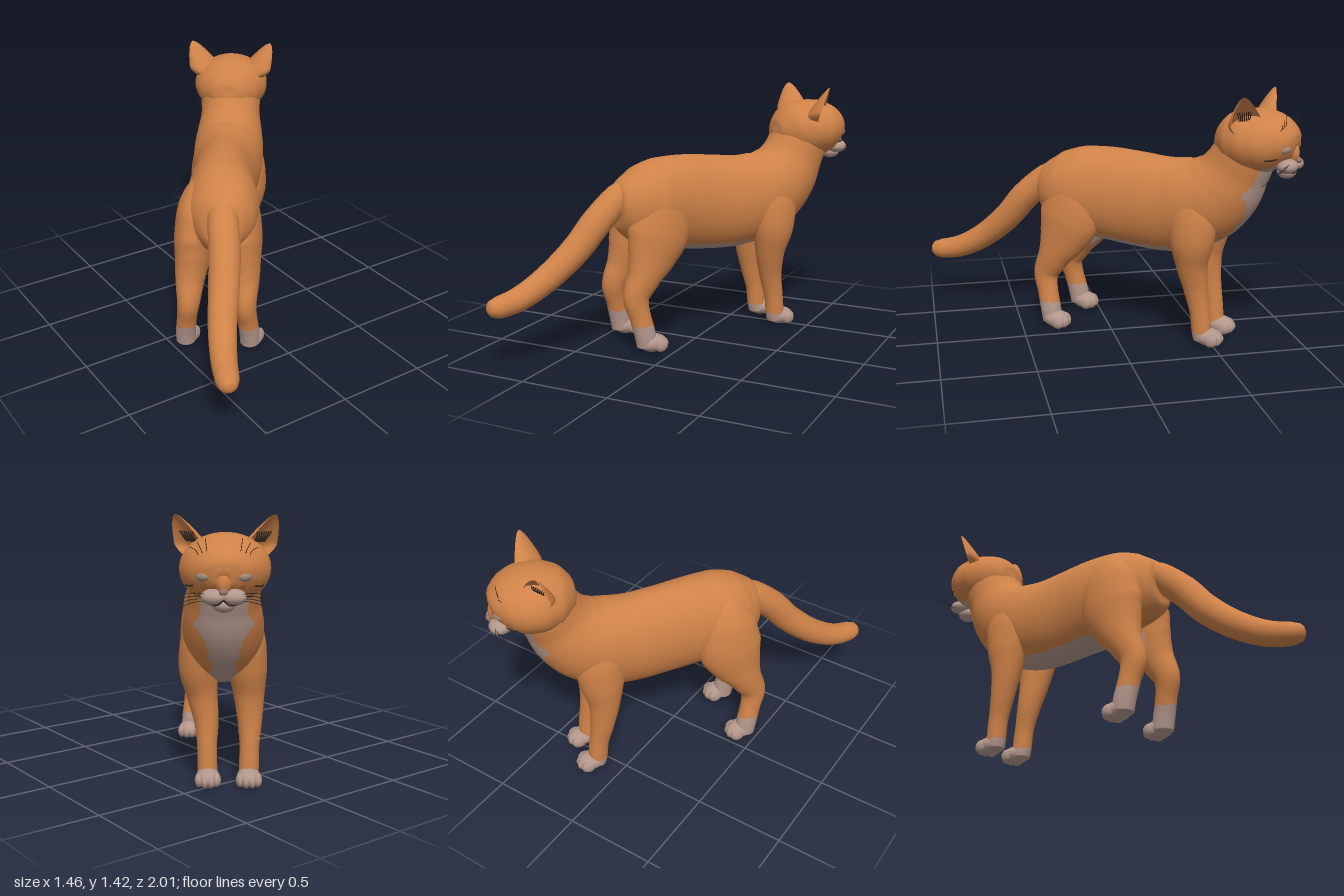
import * as THREE from 'three';

const mat = (name, color, side = THREE.FrontSide) => {
  const m = new THREE.MeshStandardMaterial({ color, side });
  m.name = name;
  return m;
};
const fur = mat('orange fur', 0xcf8248, THREE.DoubleSide);
const pale = mat('pale fur', 0xb2968a);
const dark = mat('dark hair', 0x2a2320);
const noseSkin = mat('nose skin', 0x94736a);
const eyeTint = mat('eye', 0xa08c7a);

// Smooth tube through stations [x, y, forward, half width, half depth].
// isPale(point, angle from the underside or rear, t) picks the second material.
function loft(name, stations, isPale = () => false, rings = 80, sides = 48) {
  const path = new THREE.CatmullRomCurve3(stations.map(s => new THREE.Vector3(s[0], s[1], -s[2])), false, 'centripetal');
  const size = new THREE.CatmullRomCurve3(stations.map(s => new THREE.Vector3(s[3], s[4], 0)), false, 'centripetal');
  const pos = [], parts = [[], []];
  for (let i = 0; i <= rings; i++) {
    const t = i / rings, c = path.getPoint(t), r = size.getPoint(t), T = path.getTangent(t);
    const side = new THREE.Vector3(1, 0, 0).addScaledVector(T, -T.x).normalize();
    const down = new THREE.Vector3().crossVectors(T, side);
    for (let j = 0; j < sides; j++) {
      const a = j / sides * Math.PI * 2;
      const p = c.clone().addScaledVector(side, Math.max(r.x, 0.001) * Math.cos(a))
        .addScaledVector(down, Math.max(r.y, 0.001) * Math.sin(a));
      pos.push(p.x, p.y, p.z);
    }
  }
  const at = k => new THREE.Vector3().fromArray(pos, k * 3);
  for (let i = 0; i < rings; i++) for (let j = 0; j < sides; j++) {
    const k = (j + 1) % sides, a = i * sides + j, b = i * sides + k, c = b + sides, d = a + sides;
    const angle = Math.acos(Math.sin((j + 0.5) / sides * Math.PI * 2));
    const mid = at(a).add(at(c)).multiplyScalar(0.5);
    parts[isPale(mid, angle, (i + 0.5) / rings) ? 1 : 0].push(a, b, c, a, c, d);
  }
  const g = new THREE.BufferGeometry();
  g.setAttribute('position', new THREE.Float32BufferAttribute(pos, 3));
  g.setIndex([...parts[0], ...parts[1]]);
  g.addGroup(0, parts[0].length, 0);
  g.addGroup(parts[0].length, parts[1].length, 1);
  g.computeVertexNormals();
  const m = new THREE.Mesh(g, [fur, pale]);
  m.name = name;
  return m;
}

function blob(name, material, [x, y, f], [rx, ry, rz], turn = 0) {
  const m = new THREE.Mesh(new THREE.SphereGeometry(1, 24, 16), material);
  m.name = name;
  m.position.set(x, y, -f);
  m.scale.set(rx, ry, rz);
  m.rotation.y = turn;
  return m;
}

function hair(name, points, radius = 0.0016) {
  const c = new THREE.CatmullRomCurve3(points.map(p => new THREE.Vector3(p[0], p[1], -p[2])));
  const m = new THREE.Mesh(new THREE.TubeGeometry(c, 8, radius, 4), dark);
  m.name = name;
  return m;
}

// Straight-line blend through [position, value] pairs
function ramp(keys, t) {
  for (let i = 1; i < keys.length; i++) if (t <= keys[i][0]) {
    const [a, b] = [keys[i - 1], keys[i]];
    return b[1] * (t - a[0]) / (b[0] - a[0]) + a[1] * (b[0] - t) / (b[0] - a[0]);
  }
  return keys[keys.length - 1][1];
}

function paw(name, x, f) {
  const g = new THREE.Group();
  g.name = name;
  g.add(blob('pawPad', pale, [x, 0.05, f + 0.01], [0.062, 0.05, 0.08]));
  [-0.045, -0.016, 0.016, 0.045].forEach((dx, i) =>
    g.add(blob('toe', pale, [x + dx, 0.042, f + (i % 3 ? 0.055 : 0.038)], [0.023, 0.037, 0.04])));
  return g;
}

function legs(side, label) {
  const g = new THREE.Group(), s = side, o = -0.028;
  g.name = label + 'Legs';
  g.add(loft(label + 'HindLeg', [
    [s * 0.05, 0.99, -0.22, 0.01, 0.01], [s * 0.08, 0.92, -0.225, 0.08, 0.1], [s * 0.115, 0.8, -0.235, 0.106, 0.165],
    [s * 0.132, 0.66, -0.248, 0.108, 0.183], [s * 0.14, 0.53, -0.293, 0.096, 0.145],
    [s * 0.15, 0.42, -0.345, 0.08, 0.097], [s * 0.155, 0.31, -0.395, 0.063, 0.074],
    [s * 0.168, 0.2, -0.378, 0.055, 0.06], [s * 0.178, 0.1, -0.355, 0.056, 0.06],
    [s * 0.18, 0.035, -0.345, 0.055, 0.058], [s * 0.18, 0.01, -0.345, 0.01, 0.01],
  ], p => p.y < 0.155 || (p.y > 0.44 && p.y < 0.56 && p.x * s < 0.1 && p.z < 0.33)));
  g.add(paw(label + 'HindPaw', s * 0.182 + 0.008, -0.322));
  g.add(loft(label + 'ForeLeg', [
    [s * 0.06, 0.97, 0.49, 0.01, 0.01], [s * 0.09, 0.89, 0.49, 0.08, 0.1], [s * 0.12, 0.75, 0.5, 0.1, 0.14],
    [s * 0.128, 0.61, 0.495, 0.1, 0.125], [o * 0.5 + s * 0.122, 0.47, 0.49, 0.081, 0.09],
    [o + s * 0.113, 0.32, 0.508, 0.063, 0.068], [o + s * 0.11, 0.18, 0.535, 0.051, 0.056],
    [o + s * 0.108, 0.08, 0.545, 0.052, 0.055], [o + s * 0.106, 0.03, 0.55, 0.05, 0.05],
    [o + s * 0.106, 0.01, 0.55, 0.01, 0.01],
  ], p => p.y < 0.075));
  g.add(paw(label + 'ForePaw', o + s * 0.106, 0.575));
  return g;
}

// Open cup tapering to a tip, facing forward and outward
function ear(side, label) {
  const g = new THREE.Group();
  g.name = label + 'Ear';
  const open = new THREE.Vector3(side * 0.62, 0, -0.78), across = new THREE.Vector3(0.78, 0, side * 0.62);
  const base = new THREE.Vector3(side * 0.118, 0.01, -0.01), tip = new THREE.Vector3(side * 0.236, 0.255, -0.03);
  const spot = (v, wide, deep) => base.clone().lerp(tip, v).addScaledVector(across, wide).addScaledVector(open, -deep);
  const shell = new THREE.PlaneGeometry(1, 1, 24, 24), p = shell.attributes.position;
  for (let i = 0; i < p.count; i++) {
    const v = p.getY(i) + 0.5, a = p.getX(i) * 3.4;
    const flare = 0.35 + 0.65 * THREE.MathUtils.smoothstep(v, 0, 0.42);
    const c = spot(v, Math.sin(a) * 0.135 * flare * Math.pow(1 - v, 0.62), Math.cos(a) * 0.105 * Math.pow(1 - v, 0.75));
    p.setXYZ(i, c.x, c.y, c.z);
  }
  shell.computeVertexNormals();
  const m = new THREE.Mesh(shell, fur);
  m.name = 'earShell';
  g.add(m);
  for (let i = 0; i < 7; i++) {
    const k = i / 6 - 0.5;
    g.add(hair('earHair', [[0.45, 0.06, 0.02], [0.55, 0.07, 0.012], [0.66, 0.085, 0.015]].map(([v, w, d]) => {
      const c = spot(v, k * w, d);
      return [c.x, c.y, -c.z];
    }), 0.003));
  }
  return g;
}

function makeHead() {
  const g = new THREE.Group();
  g.name = 'head';
  g.add(loft('skull', [
    [0, -0.02, -0.205, 0.005, 0.005], [0, -0.02, -0.19, 0.08, 0.07], [0, -0.012, -0.11, 0.178, 0.148],
    [0, -0.003, 0, 0.22, 0.17], [0, -0.003, 0.08, 0.215, 0.167], [0, -0.012, 0.15, 0.182, 0.144],
    [0, -0.024, 0.195, 0.137, 0.11], [0, -0.035, 0.222, 0.085, 0.07], [0, -0.04, 0.236, 0.035, 0.03],
    [0, -0.04, 0.239, 0.002, 0.002],
  ], (p, a) => a < 0.65 && p.z < -0.03));
  g.add(blob('noseBridge', fur, [0, -0.05, 0.218], [0.036, 0.055, 0.036]));
  g.add(blob('nose', noseSkin, [0, -0.086, 0.254], [0.021, 0.015, 0.014]));
  g.add(blob('chin', pale, [0, -0.152, 0.19], [0.056, 0.038, 0.052]));
  for (const [s, label] of [[1, 'right'], [-1, 'left']]) {
    g.add(blob(label + 'MuzzlePad', pale, [s * 0.046, -0.115, 0.206], [0.062, 0.039, 0.057]));
    g.add(blob(label + 'EyeRim', dark, [s * 0.094, -0.018, 0.199], [0.044, 0.027, 0.022], -s * 0.62));
    g.add(blob(label + 'Eye', eyeTint, [s * 0.0965, -0.019, 0.203], [0.041, 0.025, 0.0245], -s * 0.62));
    g.add(blob(label + 'Brow', fur, [s * 0.09, 0.022, 0.181], [0.056, 0.02, 0.036], -s * 0.62));
    g.add(hair('mouthLine', [[0, -0.124, 0.247], [s * 0.03, -0.148, 0.245], [s * 0.08, -0.14, 0.225]], 0.004));
    g.add(ear(s, label));
    for (let i = 0; i < 4; i++) {
      const y = -0.1 - i * 0.009, d = i * 0.018;
      g.add(hair('whisker', [[s * 0.07, y, 0.23], [s * 0.15, y - d * 0.5 + 0.008, 0.24 - d], [s * 0.25, y - d - 0.015, 0.225 - d * 1.6]]));
    }
    for (let i = 0; i < 3; i++)
      g.add(hair('browHair', [[s * (0.07 + i * 0.02), 0.045, 0.17], [s * (0.078 + i * 0.026), 0.1, 0.2], [s * (0.085 + i * 0.036), 0.155 - i * 0.02, 0.205]]));
    // Markings lying on the fur
    g.add(hair('cheekStripe', [[s * 0.142, -0.065, 0.181], [s * 0.165, -0.07, 0.158], [s * 0.183, -0.07, 0.128]], 0.004));
    g.add(hair('foreheadStripe', [[s * 0.025, 0.088, 0.192], [s * 0.035, 0.114, 0.168], [s * 0.05, 0.14, 0.122]], 0.004));
  }
  g.position.set(-0.005, 1.167, -0.78);
  g.rotation.y = -0.05;
  return g;
}

export function createModel() {
  const cat = new THREE.Group();
  cat.name = 'cat';

  // Torso and neck, with a pale belly and bib along the underside
  const bib = [[0.24, 0], [0.29, 0.55], [0.5, 0.6], [0.57, 0.4], [0.63, 0.3], [0.7, 0.5], [0.725, 0.95], [0.76, 0.72], [0.9, 0.7], [1, 0.9]];
  cat.add(loft('body', [
    [0.04, 0.82, -0.468, 0.01, 0.01], [0.04, 0.82, -0.45, 0.11, 0.125], [0.035, 0.81, -0.36, 0.175, 0.205],
    [0.02, 0.80, -0.22, 0.202, 0.255], [0.005, 0.79, -0.05, 0.19, 0.27], [0, 0.775, 0.12, 0.18, 0.273],
    [0, 0.765, 0.3, 0.19, 0.268], [0, 0.785, 0.43, 0.205, 0.257], [0, 0.835, 0.55, 0.208, 0.238],
    [0, 0.915, 0.64, 0.195, 0.21], [0, 1.01, 0.7, 0.178, 0.18], [-0.003, 1.1, 0.742, 0.18, 0.168],
    [-0.005, 1.17, 0.765, 0.17, 0.15], [-0.005, 1.21, 0.778, 0.1, 0.1],
  ], (p, a, t) => a < ramp(bib, t), 120, 64));

  // Tail sweeping down and back
  cat.add(loft('tail', [
    [0.03, 0.92, -0.32, 0.04, 0.04], [0.04, 0.855, -0.44, 0.08, 0.08], [0.06, 0.73, -0.585, 0.083, 0.083],
    [0.065, 0.6, -0.7, 0.08, 0.08], [0.07, 0.46, -0.87, 0.073, 0.073], [0.09, 0.375, -1.03, 0.066, 0.066],
    [0.115, 0.35, -1.15, 0.059, 0.059], [0.124, 0.35, -1.197, 0.043, 0.043], [0.127, 0.35, -1.213, 0.022, 0.022],
    [0.128, 0.35, -1.217, 0.003, 0.003],
  ]));

  cat.add(legs(1, 'right'), legs(-1, 'left'), makeHead());

  // The animal walks diagonally across the frame
  cat.rotation.y = -37 * Math.PI / 180;
  cat.position.set(-0.08, 0, -0.06);
  const model = new THREE.Group();
  model.name = 'model';
  model.add(cat);
  return model;
}
